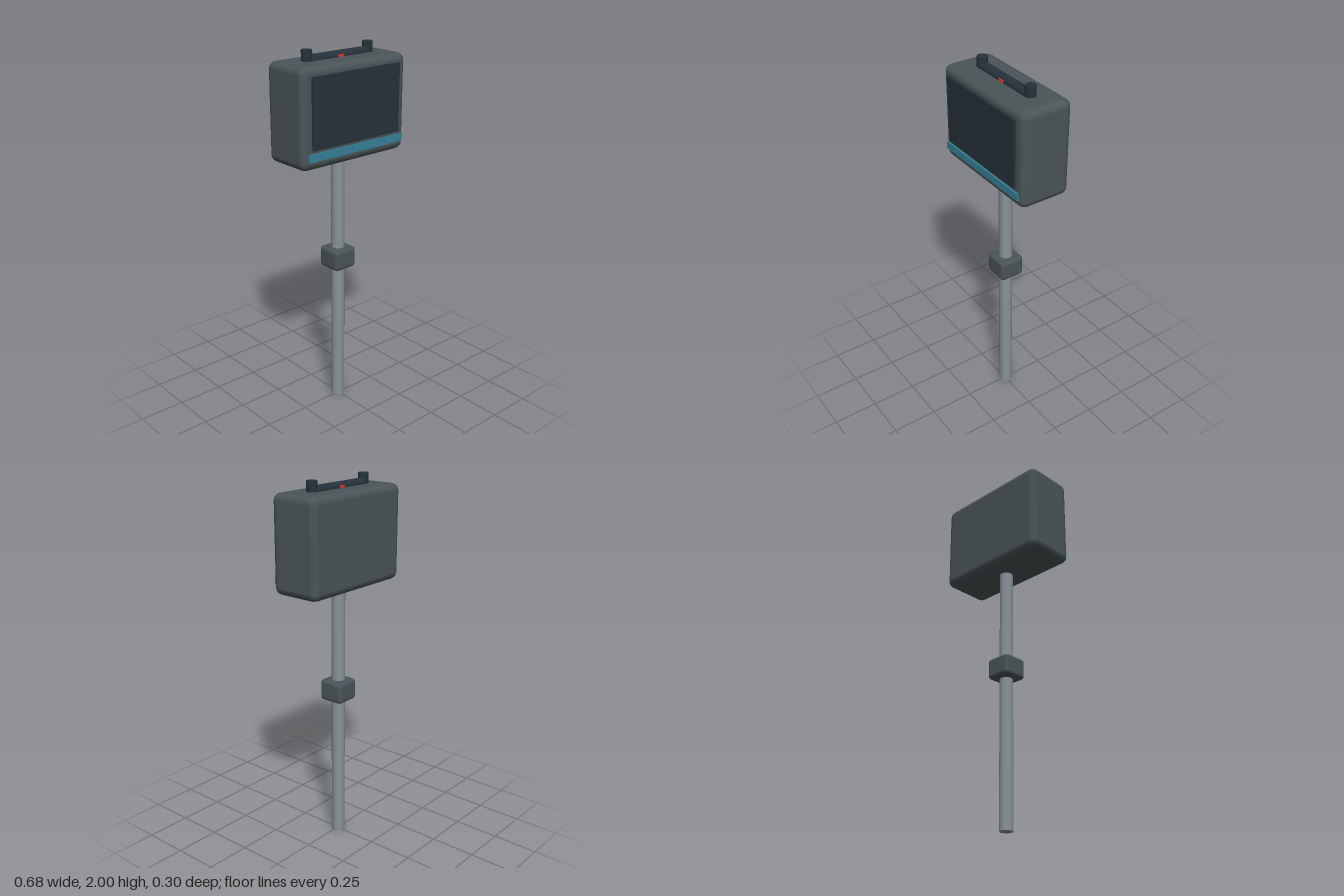
import * as THREE from 'three';
import { RoundedBoxGeometry } from 'three/addons/geometries/RoundedBoxGeometry.js';

const material = (name, color) => {
  const m = new THREE.MeshStandardMaterial({ color });
  m.name = name;
  return m;
};

export function createModel() {
  const group = new THREE.Group();
  const casing = material('casing grey', 0x4a5558);
  const dark = material('dark slate', 0x26323c);
  const teal = material('teal', 0x37839a);
  const metal = material('pole metal', 0x8a949c);
  const red = material('red', 0xd8392f);
  const axisZ = -0.006;

  const add = (name, geometry, mat, x, y, z = axisZ) => {
    const mesh = new THREE.Mesh(geometry, mat);
    mesh.name = name;
    mesh.position.set(x, y, z);
    group.add(mesh);
    return mesh;
  };

  // Pole with its clamp
  add('pole', new THREE.CylinderGeometry(0.037, 0.037, 1.46, 12), metal, 0, 0.73);
  add('poleClamp', new RoundedBoxGeometry(0.142, 0.116, 0.142, 2, 0.02), casing, 0, 0.862);

  // Display casing, screen and accent strip
  add('casing', new RoundedBoxGeometry(0.684, 0.51, 0.284, 2, 0.04), casing, 0, 1.69);
  add('screen', new THREE.BoxGeometry(0.572, 0.36, 0.011), dark, 0, 1.72, 0.1415);
  add('accentStrip', new THREE.BoxGeometry(0.626, 0.04, 0.009), teal, 0, 1.505, 0.1425);

  // Carry handle: two posts joined by a bar
  for (const side of [-1, 1]) {
    add('handlePost', new THREE.CylinderGeometry(0.028, 0.028, 0.08, 12), dark, side * 0.199, 1.96);
  }
  const bar = add('handleBar', new THREE.CylinderGeometry(0.028, 0.028, 0.398, 12), dark, 0, 1.947);
  bar.rotation.z = Math.PI / 2;

  // Button set into the bar
  const button = add('button', new THREE.CylinderGeometry(0.034, 0.034, 0.02, 12), red, 0, 1.948);
  button.rotation.y = Math.PI / 12;

  return group;
}
